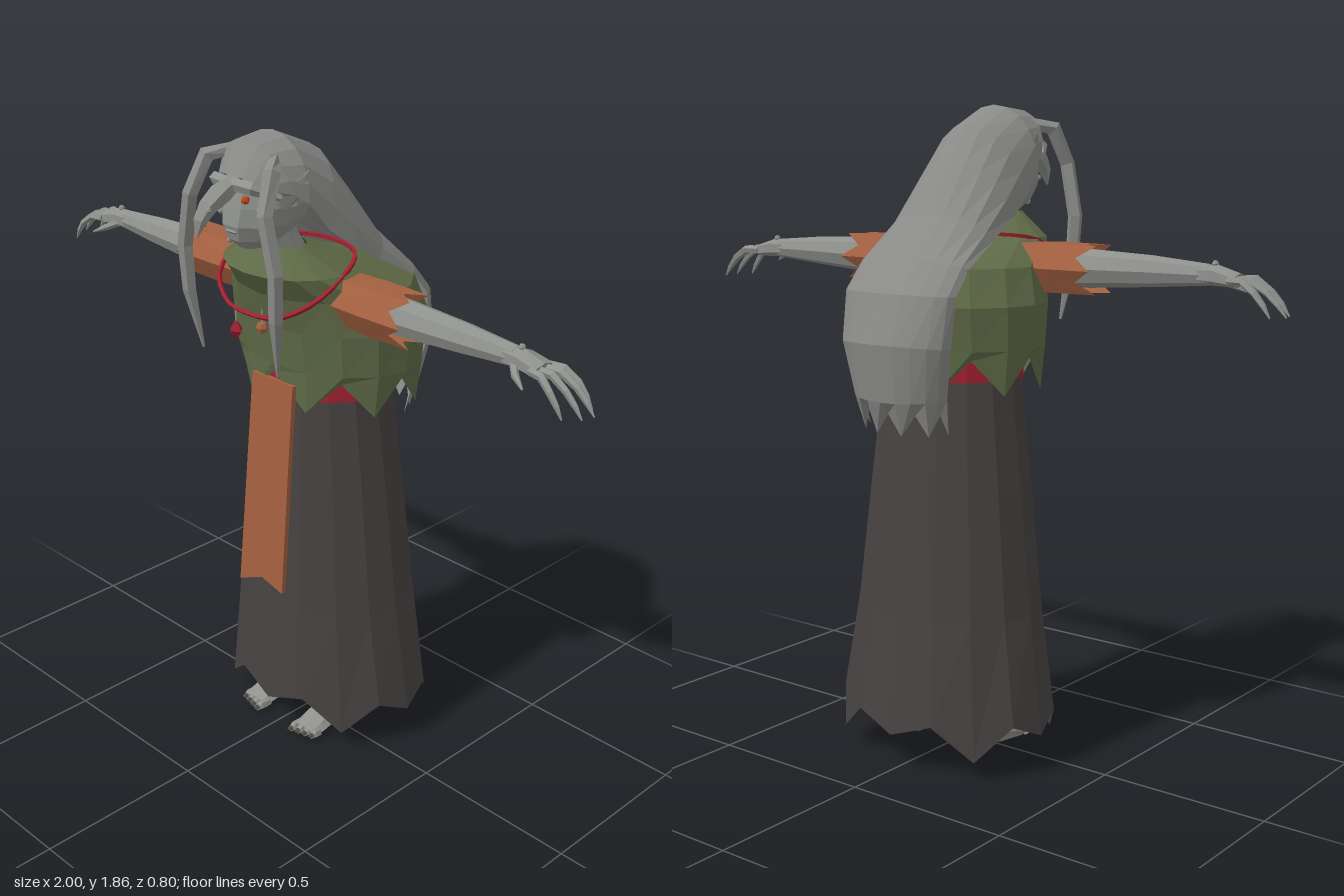
import * as THREE from 'three';

const mat = (name, color, double) => {
  const m = new THREE.MeshStandardMaterial({ color });
  m.name = name;
  if (double) m.side = THREE.DoubleSide;
  return m;
};

// Faceted normals for every low-poly part
function flat(g) {
  const f = g.index ? g.toNonIndexed() : g;
  f.computeVertexNormals();
  return f;
}

// Skin a list of equal-length rows of [x, y, z]
function grid(rows, closed) {
  const n = rows[0].length, idx = [];
  for (let i = 0; i < rows.length - 1; i++) {
    for (let j = 0; j < (closed ? n : n - 1); j++) {
      const k = (j + 1) % n;
      const a = i * n + j, b = i * n + k, c = a + n, d = b + n;
      idx.push(a, b, d, a, d, c);
    }
  }
  const g = new THREE.BufferGeometry();
  g.setAttribute('position', new THREE.Float32BufferAttribute(rows.flat(2), 3));
  g.setIndex(idx);
  return flat(g);
}

// Tapered limb through [x, y, z, radius, sideways stretch] stations
function limb(stations, sides = 6) {
  const p = stations.map(s => new THREE.Vector3(s[0], s[1], s[2]));
  const last = p.length - 1;
  const dir = p[last].clone().sub(p[0]).normalize();
  const ref = Math.abs(dir.x) > 0.7 ? new THREE.Vector3(0, 0, 1) : new THREE.Vector3(1, 0, 0);
  const rows = p.map((c, i) => {
    const t = p[Math.min(i + 1, last)].clone().sub(p[Math.max(i - 1, 0)]).normalize();
    const n = ref.clone().cross(t).normalize(), b = t.clone().cross(n);
    const [, , , r, k = 1] = stations[i];
    return Array.from({ length: sides }, (_, j) => {
      const a = (j / sides) * Math.PI * 2;
      return c.clone().addScaledVector(n, r * Math.cos(a)).addScaledVector(b, r * k * Math.sin(a)).toArray();
    });
  });
  rows.unshift(rows[0].map(() => p[0].toArray()));
  rows.push(rows[0].map(() => p[last].toArray()));
  return grid(rows, true);
}

// Cloth ring: height (number or function of index), half width, front z, back z
function ring(y, rx, zf, zb, n = 16) {
  return Array.from({ length: n }, (_, j) => {
    const a = (j / n) * Math.PI * 2;
    const h = typeof y === 'function' ? y(j) : y;
    return [rx * Math.sin(a), h, (zf + zb) / 2 + ((zf - zb) / 2) * Math.cos(a)];
  });
}

export function createModel() {
  const root = new THREE.Group();
  const skin = mat('skin', 0x8f918d);
  const hair = mat('hair', 0x8a8a88, true);
  const green = mat('poncho green', 0x5f6b47, true);
  const dark = mat('skirt charcoal', 0x474242, true);
  const rust = mat('rust cloth', 0xa36040, true);
  const red = mat('red', 0xa0202f, true);
  const ember = mat('eye ember', 0xc2481c);
  const nail = mat('nail', 0x4e5046);

  const add = (name, geo, material, pos) => {
    const m = new THREE.Mesh(geo, material);
    m.name = name;
    if (pos) m.position.set(...pos);
    root.add(m);
    return m;
  };
  const ball = (r, sx = 1, sy = 1, sz = 1) => flat(new THREE.SphereGeometry(r, 6, 4).scale(sx, sy, sz));

  // Clothing with ragged hems
  add('skirt', grid([
    ring(j => (j % 2 ? 0.155 : j % 4 ? 0.06 : 0.11), 0.34, 0.172, -0.348),
    ring(0.45, 0.29, 0.155, -0.31),
    ring(0.8, 0.25, 0.135, -0.275),
    ring(1.2, 0.2, 0.115, -0.235)], true), dark);
  add('sash', grid([ring(1.115, 0.216, 0.127, -0.248), ring(1.22, 0.207, 0.122, -0.243)], true), red);
  add('poncho', grid([
    ring(j => (j % 2 ? 1.085 : 1.185), 0.285, 0.135, -0.3),
    ring(1.21, 0.3, 0.142, -0.31),
    ring(1.33, 0.305, 0.16, -0.33),
    ring(1.43, 0.268, 0.19, -0.3),
    ring(1.5, 0.2, 0.24, -0.09),
    ring(1.57, 0.1, 0.18, 0.06)], true), green);

  // Hanging apron panel
  const panel = new THREE.Shape([[-0.083, 0], [0.08, 0], [0.088, -0.64], [0, -0.62], [-0.09, -0.66]]
    .map(q => new THREE.Vector2(...q)));
  const apron = add('apron', flat(new THREE.ExtrudeGeometry(panel, { depth: 0.015, bevelEnabled: false })), rust, [0, 1.16, 0.125]);
  apron.rotation.x = -0.085;

  // Head, narrowing toward the chin
  const headGeo = new THREE.SphereGeometry(1, 10, 8).scale(0.112, 0.13, 0.135);
  const hp = headGeo.attributes.position;
  for (let i = 0; i < hp.count; i++) {
    const y = hp.getY(i);
    if (y < 0) {
      hp.setX(i, hp.getX(i) * (1 + y * 1.5));
      hp.setZ(i, hp.getZ(i) - y * 0.35);
    }
  }
  add('head', flat(headGeo), skin, [0, 1.69, 0.15]);
  add('neck', limb([[0, 1.48, 0.08, 0.075], [0, 1.58, 0.13, 0.065], [0, 1.66, 0.15, 0.065]], 8), skin);
  add('nose', limb([[0, 1.765, 0.25, 0.02], [0, 1.735, 0.315, 0.032], [0, 1.708, 0.36, 0.026],
    [0, 1.675, 0.388, 0.018], [0, 1.635, 0.4, 0.003]], 6), skin);
  add('brow', limb([[-0.115, 1.725, 0.21, 0.01], [-0.07, 1.752, 0.27, 0.018], [0, 1.755, 0.285, 0.018],
    [0.07, 1.752, 0.27, 0.018], [0.115, 1.725, 0.21, 0.01]], 5), skin);
  add('lips', ball(0.03, 1.2, 0.3, 0.6), skin, [0, 1.625, 0.27]);
  for (const q of [[-0.07, 1.66, 0.255], [0.075, 1.69, 0.25], [-0.03, 1.59, 0.26], [0.02, 1.705, 0.375]])
    add('wart', ball(0.009), skin, q);

  // Long hair: arched shell from the forehead, over the hump and down the back
  // each row: upper z, upper y, side-edge z, side-edge y, half width
  const N = 10;
  const hairRows = [
    [0.275, 1.775, 0.2, 0.0, 0.11, 1.725], [0.225, 1.858, 0.18, 0, 0.135, 1.73],
    [0.13, 1.868, 0.14, 0, 0.15, 1.7], [0, 1.81, 0.08, 0, 0.16, 1.62],
    [-0.07, 1.72, 0, 0, 0.17, 1.56], [-0.175, 1.57, -0.1, 0, 0.175, 1.5],
    [-0.285, 1.455, -0.225, 0, 0.187, 1.43], [-0.36, 1.365, -0.285, 0, 0.19, 1.36],
    [-0.4, 1.23, -0.3, 0, 0.185, 1.22], [-0.378, 1.07, -0.28, 0, 0.155, 1.08],
    [-0.345, 1.0, -0.255, 0.035, 0.14, 1.0],
  ].map(([uz, uy, lz, jag, w, ly]) => Array.from({ length: N + 1 }, (_, j) => {
    const a = (j / N - 0.5) * Math.PI, c = Math.cos(a);
    return [w * Math.sin(a), ly + (uy - ly) * c + (j % 2 ? jag : -jag * 0.7), lz + (uz - lz) * c];
  }));
  add('longHair', grid(hairRows, false), hair);

  // Necklace with pendants
  const half = [[0.1, 1.39, 0.215], [0.185, 1.44, 0.165], [0.2, 1.495, 0.07], [0.12, 1.515, -0.06]];
  const loop = [[0, 1.385, 0.235], ...half, [0, 1.515, -0.1], ...half.slice().reverse().map(([x, y, z]) => [-x, y, z])];
  const cord = new THREE.CatmullRomCurve3(loop.map(q => new THREE.Vector3(...q)), true);
  add('necklaceCord', flat(new THREE.TubeGeometry(cord, 30, 0.007, 4, true)), red);
  add('pendantGem', flat(new THREE.OctahedronGeometry(1).scale(0.022, 0.032, 0.022)), red, [-0.053, 1.318, 0.225]);
  add('pendantBead', ball(0.018), rust, [0.053, 1.355, 0.225]);
  for (const [x, y] of [[-0.053, 1.365], [0.053, 1.38]])
    add('pendantThread', flat(new THREE.CylinderGeometry(0.003, 0.003, 0.05, 4)), skin, [x, y, 0.226]);

  for (const s of [1, -1]) {
    const side = s > 0 ? 'left' : 'right';
    const sLimb = (st, n) => limb(st.map(([x, ...r]) => [x * s, ...r]), n);

    // Face details and front locks
    add(side + 'Eye', ball(0.012), ember, [0.046 * s, 1.717, 0.272]);
    add(side + 'Ear', sLimb([[0.095, 1.69, 0.18, 0.025, 0.5], [0.12, 1.73, 0.165, 0.028, 0.5], [0.145, 1.79, 0.14, 0.003]], 4), skin);
    add(side + 'FrontLock', sLimb([[0.08, 1.815, 0.2, 0.018], [0.125, 1.8, 0.25, 0.024], [0.145, 1.7, 0.295, 0.022],
      [0.178, 1.55, 0.29, 0.022], [0.172, 1.42, 0.285, 0.02], [0.15, 1.25, 0.26, 0.004]], 5), hair);

    // Ragged sleeve and bare arm
    const sleeve = [[0.18, 0.074], [0.3, 0.078], [0.42, 0.076]].map(([x, r], i) =>
      Array.from({ length: 12 }, (_, j) => {
        const a = (j / 12) * Math.PI * 2, q = j % 2 ? r * 0.87 : r;
        return [s * (x + (i === 2 ? (j % 2 ? -0.03 : 0.025) : 0)), 1.425 + q * Math.sin(a), 0.035 + q * Math.cos(a)];
      }));
    add(side + 'Sleeve', grid(sleeve, true), rust);
    add(side + 'Arm', sLimb([[0.2, 1.425, 0.035, 0.058], [0.4, 1.427, 0.037, 0.053], [0.6, 1.43, 0.038, 0.042], [0.77, 1.43, 0.037, 0.028]], 8), skin);
    add(side + 'Hand', sLimb([[0.745, 1.43, 0.037, 0.026, 1.2], [0.79, 1.43, 0.037, 0.028, 1.35], [0.855, 1.42, 0.038, 0.019, 2.2]], 6), skin);
    add(side + 'HandWart', ball(0.01), skin, [0.785 * s, 1.459, 0.037]);
    [[-0.004, 0.97], [0.022, 1], [0.052, 0.99], [0.08, 0.955]].forEach(([z, tip], i) => {
      const x = t => 0.84 + (tip - 0.84) * t, dz = (i - 1.5) * 0.006;
      add(side + 'Finger', sLimb([[x(0), 1.422, z * 0.8 + 0.008, 0.011], [x(0.35), 1.422, z, 0.012],
        [x(0.65), 1.395, z + dz, 0.01], [x(0.85), 1.365, z + dz, 0.008], [x(1), 1.335, z + dz, 0.002]], 5), skin);
    });
    add(side + 'Thumb', sLimb([[0.775, 1.42, 0.055, 0.012], [0.805, 1.405, 0.085, 0.011], [0.845, 1.385, 0.105, 0.003]], 5), skin);

    // Leg, long foot and toes
    add(side + 'Leg', sLimb([[0.11, 0.8, -0.06, 0.06], [0.11, 0.3, -0.07, 0.052], [0.11, 0.07, -0.075, 0.042]], 8), skin);
    add(side + 'Foot', sLimb([[0.11, 0.075, -0.13, 0.022], [0.11, 0.065, -0.085, 0.05, 0.85], [0.11, 0.048, 0, 0.042, 1.1],
      [0.112, 0.027, 0.09, 0.024, 2.1], [0.112, 0.02, 0.125, 0.014, 3]], 8), skin);
    add(side + 'AnkleWart', ball(0.012), skin, [0.155 * s, 0.07, -0.05]);
    for (let i = 0; i < 4; i++) {
      const x = 0.076 + i * 0.024, z = 0.145 - i * 0.006;
      add(side + 'Toe', sLimb([[x, 0.02, 0.1, 0.014], [x, 0.021, z - 0.01, 0.014], [x, 0.016, z + 0.008, 0.007]], 5), skin);
      add(side + 'Toenail', ball(0.009, 1, 0.8, 1.4), nail, [x * s, 0.021, z + 0.004]);
    }
  }
  return root;
}
